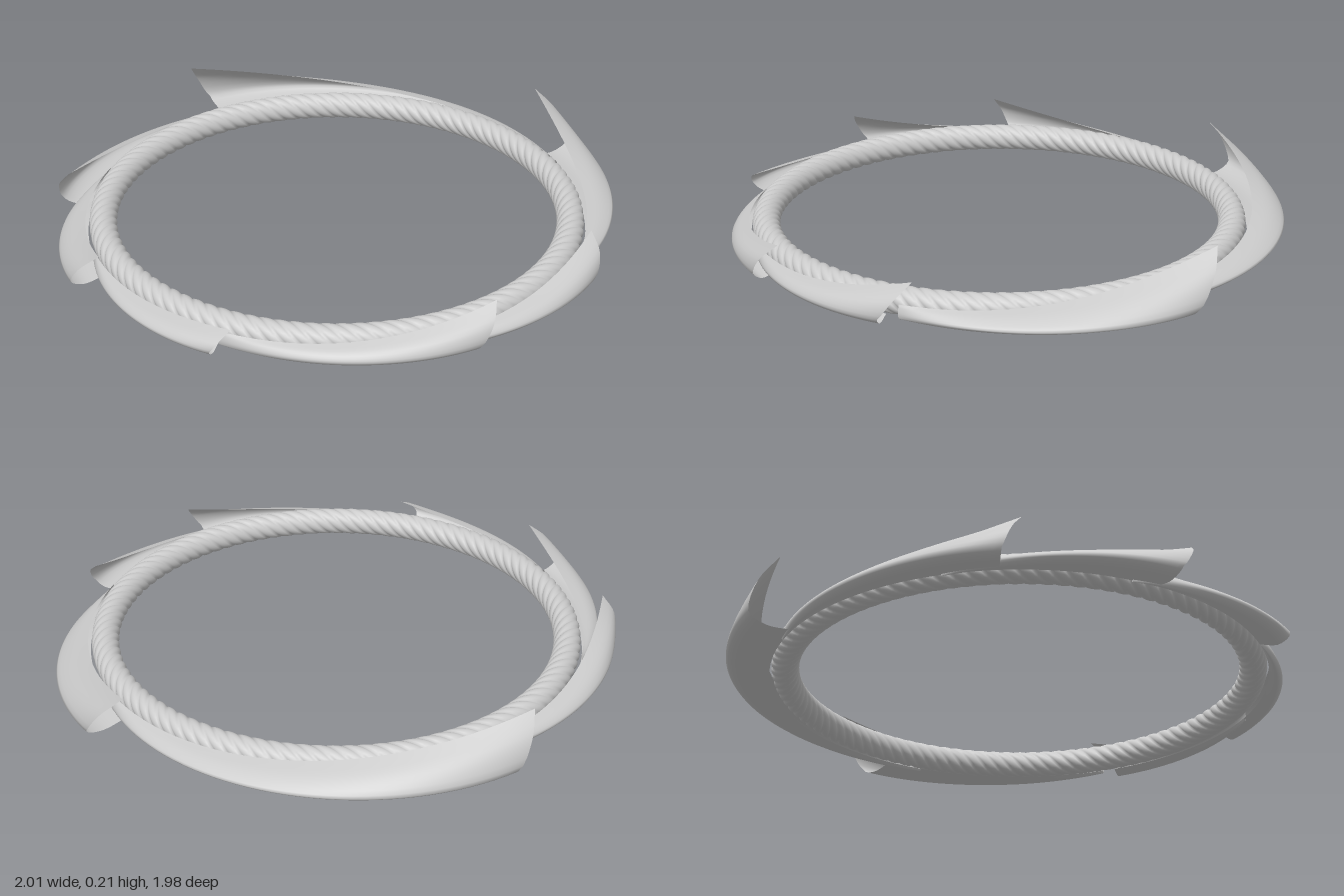
import * as THREE from 'three';
import { mergeVertices } from 'three/addons/utils/BufferGeometryUtils.js';

const CENTRE = [-0.015, 0.035]; // x, z of the ring's axis
const RAD = Math.PI / 180;
const { lerp } = THREE.MathUtils;

// Point at an angle around the ring (counter-clockwise from above)
const polar = (a, r, y) => [CENTRE[0] + r * Math.cos(a), y, CENTRE[1] - r * Math.sin(a)];

// Smooth surface through a grid of points fn(u, v), u and v in 0..1
function gridSurface(nu, nv, fn) {
  const pos = [], idx = [];
  for (let i = 0; i <= nu; i++) {
    for (let j = 0; j <= nv; j++) {
      pos.push(...fn(i / nu, j / nv));
      if (i === nu || j === nv) continue;
      const a = i * (nv + 1) + j, b = a + nv + 1;
      idx.push(a, b, b + 1, a, b + 1, a + 1);
    }
  }
  let geo = new THREE.BufferGeometry();
  geo.setAttribute('position', new THREE.Float32BufferAttribute(pos, 3));
  geo.setIndex(idx);
  geo = mergeVertices(geo, 1e-5);
  geo.computeVertexNormals();
  return geo;
}

// Rope ring: six strands twisted around a circle
function ropeGeometry() {
  const R = 0.81, r = 0.048, strands = 6, twists = 17;
  return gridSurface(510, strands * 6, (u, v) => {
    const a = u * Math.PI * 2;
    const w = v * Math.PI * 2 - twists * a;
    const rr = r * (0.88 + 0.12 * Math.pow(Math.abs(Math.sin(v * Math.PI * strands)), 0.6));
    return polar(a, R + rr * Math.cos(w), 0.052 + rr * Math.sin(w));
  });
}

// Leaf-like blade: an inward-facing trough that widens and rises to a pointed tip
function bladeGeometry({ tail, outer, peak }) {
  const [outA, outR] = outer, [peakA, peakR, peakY] = peak;
  return gridSurface(40, 16, (t, s) => {
    const grow = 1 - Math.pow(1 - t, 1.5);
    const ro = lerp(0.872, outR, grow);
    const rt = lerp(0.866, peakR, t ** 4);
    const yt = lerp(0.062, peakY, t ** 2.6);
    const section = new THREE.CatmullRomCurve3([
      new THREE.Vector3(0.863, 0.022, 0),
      new THREE.Vector3(lerp(0.863, ro, 0.6), 0.014, 0),
      new THREE.Vector3(ro, lerp(0.03, 0.042, t), 0),
      new THREE.Vector3((ro + rt) / 2 + 0.022 * grow, lerp(0.04, yt, 0.55), 0),
      new THREE.Vector3(rt, yt, 0),
    ]);
    const p = section.getPoint(s);
    // The end is cut obliquely, so the upper edge reaches furthest
    const k = Math.max(0, (s - 0.5) * 2);
    const end = lerp(outA, peakA, k) - 2 * Math.max(0, 0.5 - s);
    return polar(lerp(tail, end, t) * RAD, p.x, p.y);
  });
}

// tail angle; outer corner [angle, radius]; tip [angle, radius, height]
const BLADES = [
  { name: 'largeRightBlade', tail: -48, outer: [10, 1.03], peak: [18, 0.974, 0.21] },
  { name: 'largeBackBlade', tail: 0, outer: [96, 1.03], peak: [102, 0.978, 0.21] },
  { name: 'backCornerBlade', tail: 90, outer: [151, 0.975], peak: [154.5, 0.937, 0.165] },
  { name: 'sideBlade', tail: 138, outer: [185, 0.988], peak: [190.5, 0.92, 0.163] },
  { name: 'smallCornerBlade', tail: 178, outer: [223, 0.96], peak: [226, 0.905, 0.105] },
  { name: 'frontBlade', tail: 222, outer: [275.7, 0.952], peak: [281, 0.902, 0.157] },
  { name: 'frontCornerBlade', tail: 264, outer: [310, 0.957], peak: [316, 0.905, 0.162] },
];

export function createModel() {
  const group = new THREE.Group();
  group.name = 'bladedRing';
  const solid = new THREE.MeshStandardMaterial({ color: 0xcccccc });
  const sheet = new THREE.MeshStandardMaterial({ color: 0xcccccc, side: THREE.DoubleSide });

  const rope = new THREE.Mesh(ropeGeometry(), solid);
  rope.name = 'ropeRing';
  group.add(rope);

  for (const spec of BLADES) {
    const blade = new THREE.Mesh(bladeGeometry(spec), sheet);
    blade.name = spec.name;
    group.add(blade);
  }
  return group;
}
